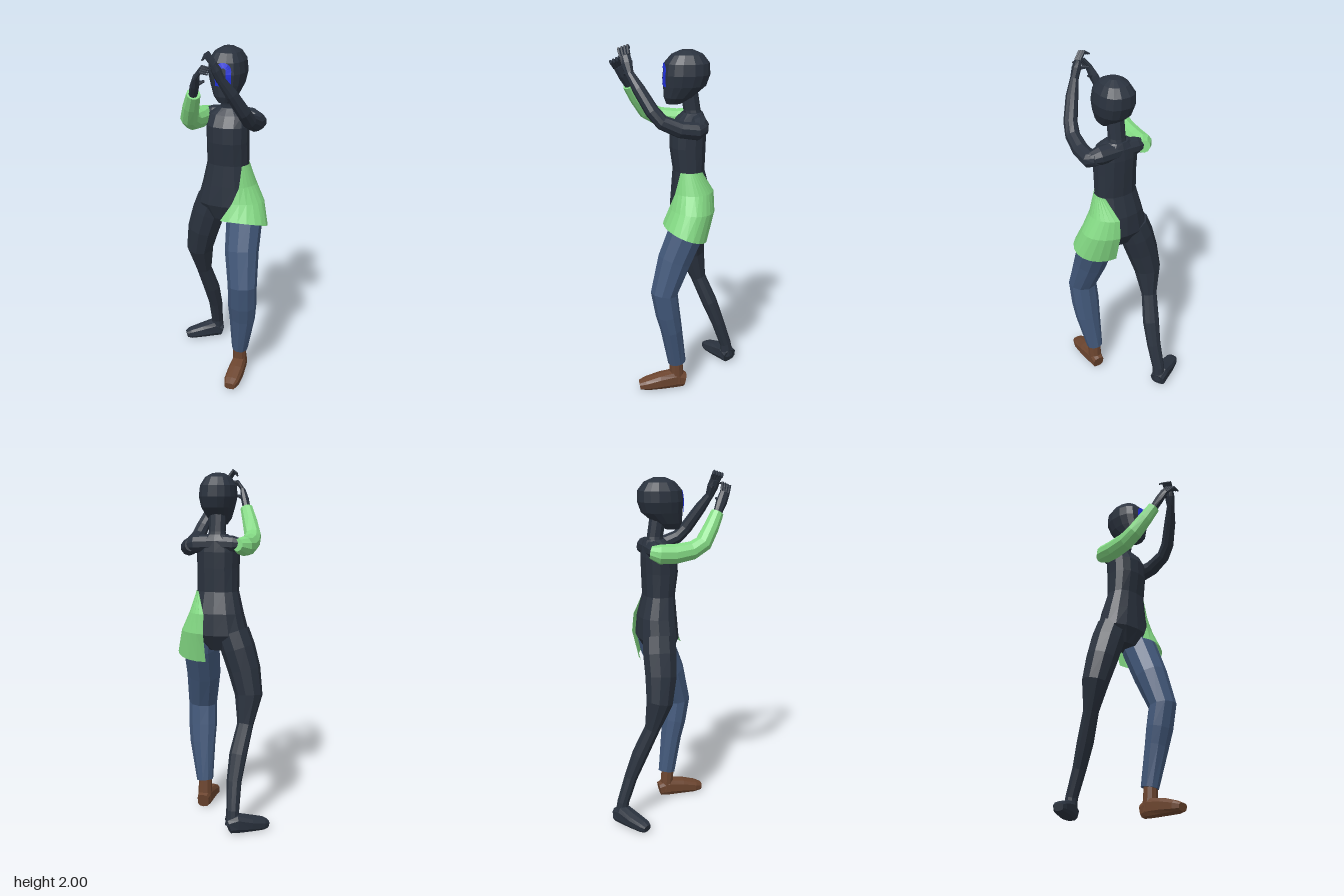
import * as THREE from 'three';

const paint = (name, color) => {
  const m = new THREE.MeshStandardMaterial({ color });
  m.name = name;
  return m;
};
const V = (x, y, z) => new THREE.Vector3(x, y, z);
const Y = V(0, 1, 0);

// Turns points and triangle indices into faceted geometry
function faceted(points, index) {
  let g = new THREE.BufferGeometry().setFromPoints(points);
  g.setIndex(index);
  g = g.toNonIndexed();
  g.computeVertexNormals();
  return g;
}

// Capped loft through rows of [x, y, z, radiusU, radiusV = radiusU]
function loft(rows, { sides = 10, power = 2, axis = null } = {}) {
  const c = rows.map(r => V(r[0], r[1], r[2]));
  const n = rows.length;
  const whole = c[n - 1].clone().sub(c[0]).normalize();
  const ref = Math.abs(whole.x) > 0.75 ? V(0, 0, 1) : V(1, 0, 0);
  const points = [], index = [];
  rows.forEach((r, i) => {
    const t = axis ? axis.clone()
      : c[Math.min(i + 1, n - 1)].clone().sub(c[Math.max(i - 1, 0)]).normalize();
    const u = ref.clone().addScaledVector(t, -ref.dot(t)).normalize();
    const v = t.clone().cross(u);
    for (let j = 0; j < sides; j++) {
      const a = (j + 0.5) / sides * Math.PI * 2;
      const bulge = w => Math.sign(w) * Math.abs(w) ** (2 / power);
      points.push(c[i].clone()
        .addScaledVector(u, bulge(Math.cos(a)) * r[3])
        .addScaledVector(v, bulge(Math.sin(a)) * (r[4] ?? r[3])));
    }
  });
  for (let j = 0; j < sides; j++) {
    const k = (j + 1) % sides;
    for (let i = 0; i < n - 1; i++) {
      const p = i * sides, q = p + sides;
      index.push(p + j, p + k, q + k, p + j, q + k, q + j);
    }
    const e = (n - 1) * sides;
    index.push(n * sides, k, j, n * sides + 1, e + j, e + k);
  }
  points.push(c[0], c[n - 1]);
  return faceted(points, index);
}

// Open sheet through equally long rows of points
function sheet(rows) {
  const w = rows[0].length, index = [];
  for (let i = 0; i < rows.length - 1; i++) {
    for (let j = 0; j < w - 1; j++) {
      const a = i * w + j, b = a + w;
      index.push(a, b, a + 1, a + 1, b, b + 1);
    }
  }
  return faceted(rows.flat(), index);
}

const headRows = [
  [0.055, 1.685, 0.035, 0.035, 0.04], [0.055, 1.72, 0.01, 0.065, 0.078],
  [0.055, 1.78, -0.025, 0.09, 0.115], [0.052, 1.84, -0.035, 0.104, 0.127],
  [0.05, 1.9, -0.038, 0.098, 0.122], [0.05, 1.945, -0.04, 0.07, 0.085],
  [0.05, 1.967, -0.04, 0.03, 0.035],
];
const HEAD_POWER = 2.4;

// Point lying just in front of the face
function onFace(x, y) {
  const i = headRows.findIndex(r => r[1] >= y);
  const a = headRows[i - 1], b = headRows[i], k = (y - a[1]) / (b[1] - a[1]);
  const [cx, , cz, rx, rz] = a.map((s, j) => s + (b[j] - s) * k);
  const d = Math.min(1, Math.abs((x - cx) / rx));
  return V(x, y, cz + rz * (1 - d ** HEAD_POWER) ** (1 / HEAD_POWER) + 0.004);
}

export function createModel() {
  const model = new THREE.Group();
  model.name = 'figure';
  const dark = paint('dark suit', 0x2a323e);
  const green = paint('light green', 0x84da84);
  const denim = paint('denim blue', 0x42587a);
  const brown = paint('boot brown', 0x6c452f);
  const blue = paint('bright blue', 0x2030dd);
  green.side = blue.side = THREE.DoubleSide;

  const add = (name, geometry, material, parent = model) => {
    const m = new THREE.Mesh(geometry, material);
    m.name = name;
    parent.add(m);
  };

  // Head, neck and trunk
  add('head', loft(headRows, { sides: 16, power: HEAD_POWER, axis: Y }), dark);
  add('neck', loft([[0.05, 1.58, -0.075, 0.062, 0.055], [0.05, 1.65, -0.066, 0.047],
    [0.05, 1.75, -0.05, 0.048]], { axis: Y }), dark);
  add('torso', loft([
    [0.03, 0.99, -0.05, 0.08, 0.07], [0.045, 1.08, -0.06, 0.175, 0.115],
    [0.045, 1.2, -0.06, 0.142, 0.108], [0.05, 1.32, -0.048, 0.118, 0.088],
    [0.05, 1.45, -0.042, 0.118, 0.1], [0.048, 1.54, -0.045, 0.12, 0.1],
    [0.05, 1.6, -0.06, 0.11, 0.08], [0.05, 1.635, -0.07, 0.06, 0.055],
  ], { sides: 14, power: 2.3, axis: Y }), dark);
  add('shoulders', loft([[-0.1, 1.58, -0.09, 0.03], [-0.05, 1.582, -0.09, 0.046],
    [0.05, 1.585, -0.09, 0.052], [0.17, 1.58, -0.09, 0.05], [0.22, 1.57, -0.08, 0.035]]), dark);

  // Arch painted on the face
  const arch = [-0.014, 0.014].map(w => {
    const line = [];
    const r = 0.03 + w;
    for (let i = 0; i < 5; i++) line.push(onFace(0.06 - r, 1.78 + 0.016 * i));
    for (let i = 0; i <= 10; i++) {
      const a = Math.PI * (1 - i / 10);
      line.push(onFace(0.06 + r * Math.cos(a), 1.86 + r * Math.sin(a)));
    }
    for (let i = 4; i >= 0; i--) line.push(onFace(0.06 + r, 1.78 + 0.016 * i));
    return line;
  });
  add('faceArch', sheet(arch), blue);

  // Arms raised in front of the face
  add('leftArm', loft([
    [0.19, 1.575, -0.11, 0.035], [0.212, 1.562, -0.07, 0.048], [0.218, 1.575, 0.02, 0.045],
    [0.213, 1.615, 0.115, 0.04], [0.198, 1.67, 0.165, 0.038], [0.15, 1.78, 0.23, 0.034],
    [0.105, 1.865, 0.278, 0.022],
  ]), dark);
  add('rightSleeve', loft([
    [-0.08, 1.58, -0.125, 0.035], [-0.102, 1.572, -0.08, 0.054], [-0.105, 1.57, 0, 0.055],
    [-0.105, 1.585, 0.1, 0.052], [-0.1, 1.62, 0.165, 0.049], [-0.07, 1.7, 0.22, 0.044],
    [-0.04, 1.775, 0.265, 0.037],
  ]), green);

  // Hands: palm, four curled fingers and a thumb
  const hand = (name, wrist, knuckle, middle, tip, thumb, spread) => {
    const g = new THREE.Group();
    g.name = name;
    model.add(g);
    const half = wrist.clone().lerp(knuckle, 0.6);
    add('palm', loft([[...wrist, 0.023], [...half, 0.024, 0.032],
      [...knuckle, 0.016, 0.03]], { sides: 8 }), dark, g);
    for (let f = 0; f < 4; f++) {
      const at = (p, s) => p.clone().addScaledVector(spread, (f - 1.5) * s);
      add('finger', loft([[...at(knuckle, 0.015), 0.009], [...at(middle, 0.017), 0.0085],
        [...at(tip, 0.018), 0.005]], { sides: 6 }), dark, g);
    }
    add('thumb', loft([[...half, 0.013], [...half.clone().lerp(thumb, 0.6), 0.01],
      [...thumb, 0.006]], { sides: 6 }), dark, g);
  };
  hand('rightHand', V(-0.045, 1.76, 0.26), V(-0.005, 1.88, 0.322), V(0.03, 1.922, 0.343),
    V(0.068, 1.915, 0.342), V(0.025, 1.85, 0.28), V(0.1, -0.4, 0.9));
  hand('leftHand', V(0.11, 1.855, 0.273), V(0.075, 1.945, 0.293), V(0.045, 1.987, 0.3),
    V(0.022, 1.97, 0.29), V(0.03, 1.91, 0.255), V(0.1, -0.3, 0.95));

  // Green panel wrapped round the left hip: [x, y, z, rx, rz, start, end, tilt]
  const panel = [
    [0.06, 1.32, -0.05, 0.113, 0.093, -40, 40, 0],
    [0.06, 1.2, -0.065, 0.15, 0.122, -75, 58, 0],
    [0.075, 1.1, -0.06, 0.183, 0.13, -82, 80, 0.01],
    [0.115, 0.97, -0.02, 0.178, 0.122, -95, 113, 0.045],
  ].map(([x, y, z, rx, rz, from, to, tilt]) => Array.from({ length: 13 }, (_, i) => {
    const a = THREE.MathUtils.degToRad(from + (to - from) * i / 12);
    return V(x + rx * Math.cos(a), y + tilt * Math.sin(a), z + rz * Math.sin(a));
  }));
  add('hipPanel', sheet(panel), green);

  // Left leg in denim, with a boot
  add('leftLeg', loft([
    [0.145, 1.07, -0.055, 0.095], [0.155, 1, -0.03, 0.103], [0.163, 0.82, 0.045, 0.097],
    [0.187, 0.63, 0.108, 0.084, 0.077], [0.182, 0.5, 0.088, 0.084, 0.07],
    [0.178, 0.4, 0.068, 0.076, 0.062], [0.156, 0.17, 0.032, 0.048, 0.052],
  ]), denim);
  const boot = new THREE.Group();
  boot.name = 'leftBoot';
  model.add(boot);
  add('bootShaft', loft([[0.156, 0.04, 0.03, 0.042], [0.156, 0.2, 0.04, 0.038]]), brown, boot);
  add('bootFoot', loft([
    [0.156, 0.05, -0.015, 0.034, 0.04], [0.156, 0.062, 0.04, 0.042, 0.055],
    [0.16, 0.054, 0.13, 0.047, 0.047], [0.16, 0.04, 0.215, 0.045, 0.034],
    [0.16, 0.034, 0.255, 0.032, 0.022],
  ], { power: 3 }), brown, boot);

  // Right leg stretched back, foot turned out
  add('rightLeg', loft([
    [-0.04, 1.09, -0.07, 0.095], [-0.073, 1, -0.075, 0.097, 0.098],
    [-0.11, 0.88, -0.08, 0.092], [-0.14, 0.74, -0.098, 0.078],
    [-0.13, 0.58, -0.14, 0.046, 0.044], [-0.105, 0.42, -0.207, 0.05, 0.046],
    [-0.095, 0.28, -0.26, 0.042, 0.038], [-0.1, 0.13, -0.31, 0.036, 0.035],
    [-0.1, 0.05, -0.32, 0.04],
  ]), dark);
  add('rightFoot', loft([
    [-0.08, 0.05, -0.335, 0.045, 0.042], [-0.12, 0.062, -0.312, 0.045, 0.055],
    [-0.19, 0.05, -0.268, 0.045, 0.042], [-0.255, 0.04, -0.227, 0.038, 0.032],
    [-0.278, 0.035, -0.213, 0.025, 0.02],
  ], { power: 3 }), dark);

  return model;
}
